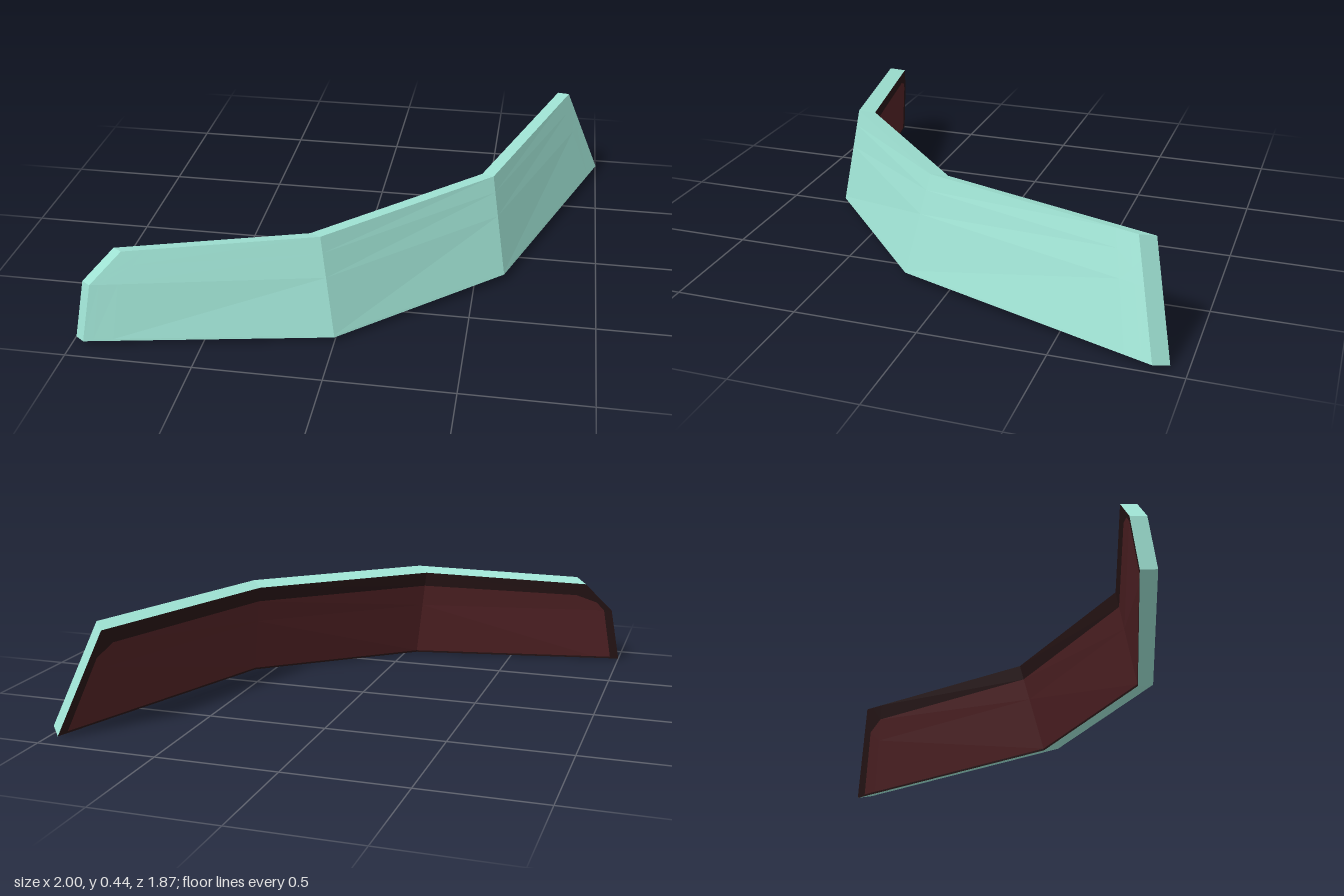
import * as THREE from 'three';

const V = (x, y, z) => new THREE.Vector3(x, y, z);

const teal = new THREE.MeshStandardMaterial({ color: 0xa0e4d5 });
teal.name = 'pale teal shell';
const red = new THREE.MeshStandardMaterial({ color: 0x502124 });
red.name = 'dark red lining';
const black = new THREE.MeshStandardMaterial({ color: 0x261415 });
black.name = 'near black border';

// Upright sections of the bent panel: bottom, shoulder, top
const SHOULDER = 0.6;
const section = (bottom, top, shoulder = bottom.clone().lerp(top, SHOULDER)) => [bottom, shoulder, top];
const sections = [
  section(V(-0.95, 0.02, 0.93), V(-0.79, 0.39, 0.85), V(-0.91, 0.26, 0.9)),
  section(V(0, 0.02, 0.75), V(-0.06, 0.43, 0.69)),
  section(V(0.62, 0.03, 0.2), V(0.55, 0.44, 0.11)),
  section(V(1, 0.03, -0.88), V(0.84, 0.445, -0.78)),
];
const thickness = V(-0.05, -0.02, -0.055);

// Point on the front sheet, u along the sections and v up them
function onSheet(u, v) {
  const i = Math.min(Math.floor(u), sections.length - 2);
  const up = ([a, b, c]) => v <= SHOULDER
    ? a.clone().lerp(b, v / SHOULDER)
    : b.clone().lerp(c, (v - SHOULDER) / (1 - SHOULDER));
  return up(sections[i]).lerp(up(sections[i + 1]), u - i);
}

// Flat-shaded mesh from a list of four-cornered faces
function quadMesh(name, quads, material) {
  const points = quads.flatMap(([a, b, c, d]) => [a, b, c, a, c, d]);
  const geometry = new THREE.BufferGeometry().setFromPoints(points);
  geometry.computeVertexNormals();
  const mesh = new THREE.Mesh(geometry, material);
  mesh.name = name;
  return mesh;
}

export function createModel() {
  const group = new THREE.Group();
  group.name = 'bentPanel';

  // Columns: position along the panel and height where the lining ends
  const columns = [
    [0, 0.8], [0.04, 0.72], [0.12, 0.82], [1, 0.84],
    [2, 0.84], [2.9, 0.84], [2.96, 0.72], [3, 0.8],
  ];
  const front = columns.map(([u, edge]) => [0, 0.02, SHOULDER, edge, 1].map((v) => onSheet(u, v)));
  const back = front.map((col) => col.map((p) => p.clone().add(thickness)));
  const lastCol = front.length - 1;
  const lastRow = front[0].length - 1;

  // Front skin, inner lining and its border
  const skin = [], lining = [], border = [];
  for (let i = 0; i < lastCol; i++) {
    for (let j = 0; j < lastRow; j++) {
      skin.push([front[i][j], front[i + 1][j], front[i + 1][j + 1], front[i][j + 1]]);
      const isBorder = i === 0 || i === lastCol - 1 || j === 0 || j === lastRow - 1;
      (isBorder ? border : lining).push(
        [back[i][j], back[i][j + 1], back[i + 1][j + 1], back[i + 1][j]]);
    }
  }

  // Rim joining the two sheets all the way round
  const outline = (grid) => [
    ...grid.map((col) => col[0]),
    ...grid[lastCol].slice(1),
    ...grid.slice(0, -1).reverse().map((col) => col[lastRow]),
    ...grid[0].slice(1, -1).reverse(),
  ];
  const f = outline(front), b = outline(back);
  const rim = f.map((p, i) => {
    const n = (i + 1) % f.length;
    return [b[i], b[n], f[n], p];
  });

  group.add(
    quadMesh('frontSkin', skin, teal),
    quadMesh('rim', rim, teal),
    quadMesh('innerLining', lining, red),
    quadMesh('innerBorder', border, black),
  );
  return group;
}
